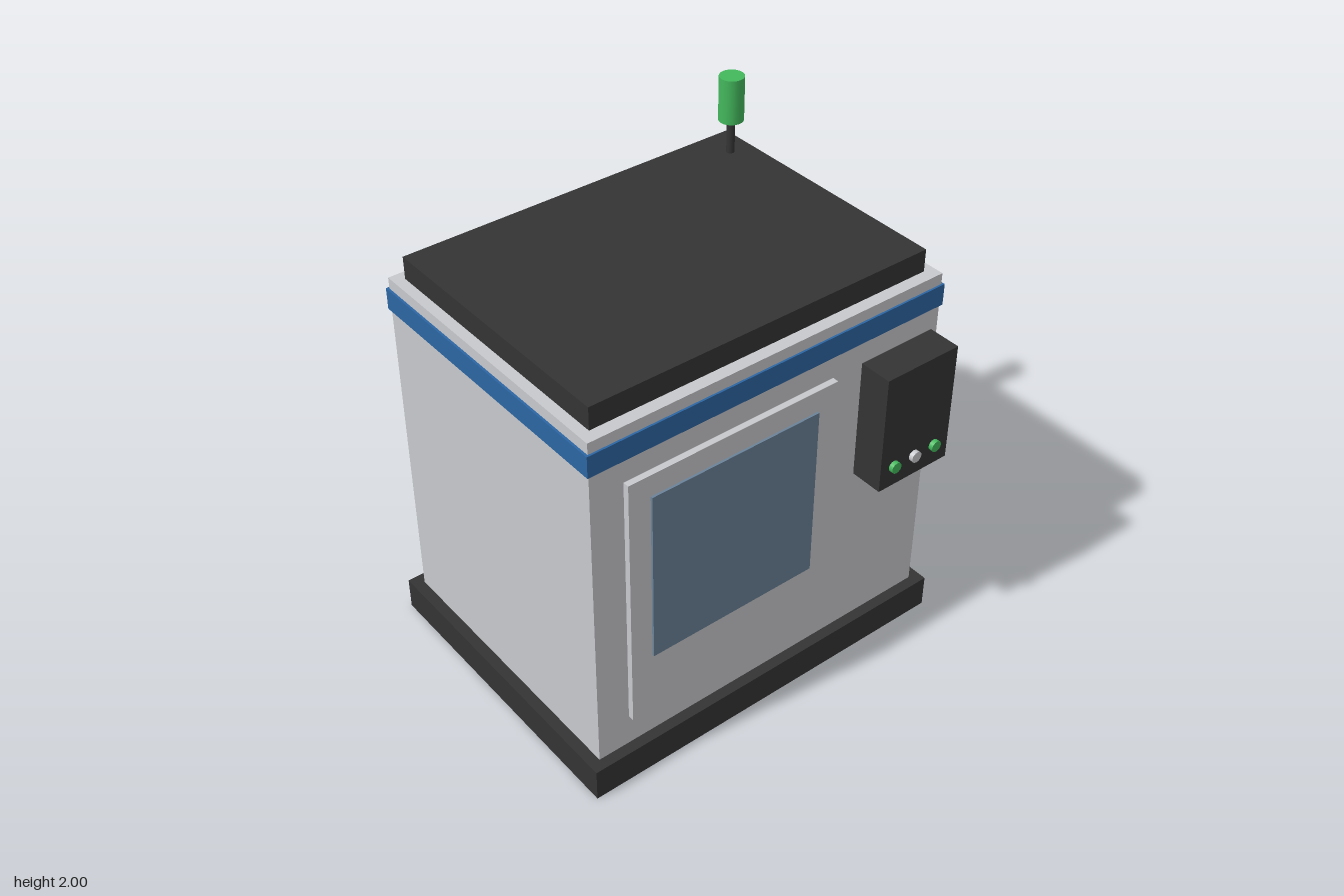
import * as THREE from 'three';

const mat = (name, color) => {
  const m = new THREE.MeshStandardMaterial({ color });
  m.name = name;
  return m;
};

export function createModel() {
  const model = new THREE.Group();
  model.name = 'machineCabinet';

  const grey = mat('light grey', 0xc8c9cd);
  const dark = mat('charcoal', 0x343434);
  const blue = mat('blue', 0x2d66a3);
  const glass = mat('window blue grey', 0x6a8299);
  const green = mat('signal green', 0x43b85c);

  const add = (name, geometry, material, x, y, z) => {
    const mesh = new THREE.Mesh(geometry, material);
    mesh.name = name;
    mesh.position.set(x, y, z);
    model.add(mesh);
    return mesh;
  };
  // Box given by its limits on each axis
  const box = (name, material, [x0, x1], [y0, y1], [z0, z1]) =>
    add(name, new THREE.BoxGeometry(x1 - x0, y1 - y0, z1 - z0), material,
      (x0 + x1) / 2, (y0 + y1) / 2, (z0 + z1) / 2);

  // Cabinet
  box('base', dark, [-0.817, 0.817], [0, 0.137], [-0.69, 0.583]);
  box('body', grey, [-0.771, 0.771], [0.137, 1.592], [-0.643, 0.539]);
  box('band', blue, [-0.78, 0.78], [1.46, 1.547], [-0.652, 0.547]);
  box('roof', dark, [-0.728, 0.728], [1.592, 1.683], [-0.6, 0.49]);

  // Door with window
  box('door', grey, [-0.636, 0.27], [0.274, 1.365], [0.535, 0.564]);
  box('window', glass, [-0.546, 0.182], [0.548, 1.275], [0.564, 0.573]);

  // Control panel with a row of buttons
  box('controlPanel', dark, [0.406, 0.743], [0.867, 1.365], [0.535, 0.674]);
  [green, grey, green].forEach((material, i) => {
    const button = add('button', new THREE.CylinderGeometry(0.023, 0.023, 0.03, 16),
      material, 0.47 + i * 0.1, 0.957, 0.677);
    button.rotation.x = Math.PI / 2;
  });

  // Signal lamp on the roof
  add('lampPole', new THREE.CylinderGeometry(0.016, 0.016, 0.15, 16), dark, 0.634, 1.75, -0.464);
  add('signalLamp', new THREE.CylinderGeometry(0.049, 0.049, 0.18, 24), green, 0.634, 1.91, -0.464);

  return model;
}
